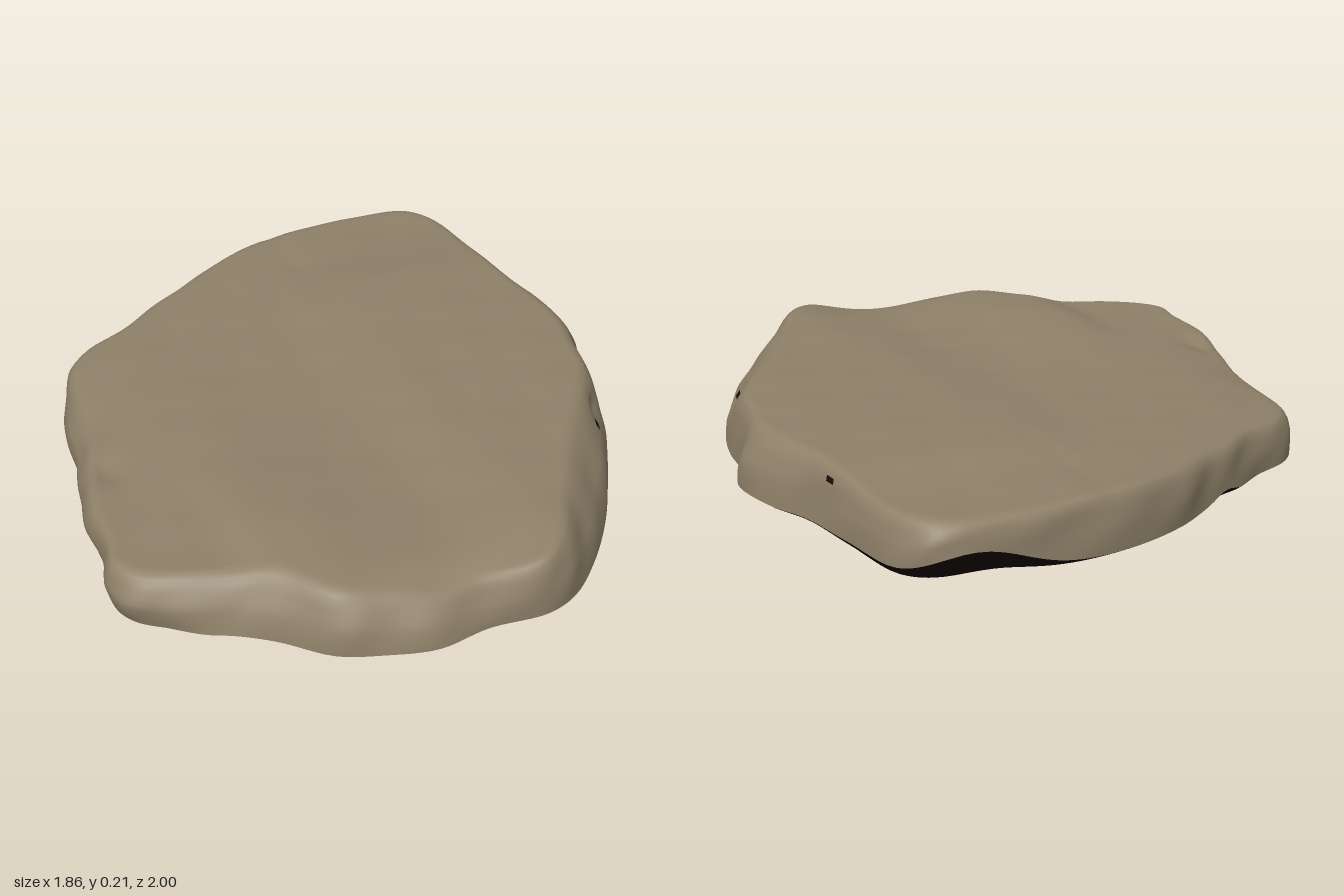
import * as THREE from 'three';

const stone = new THREE.MeshStandardMaterial({ color: 0x8f8169 });
stone.name = 'weathered stone';
const dark = new THREE.MeshStandardMaterial({ color: 0x1a0909 });
dark.name = 'dark underside';

// Slab outline seen from above: x, z, and how far the top rim is set in
const OUTLINE = [
  [0.40, -1.00, 0.02], [0.57, -0.985, 0.02], [0.78, -0.94, 0.03], [0.85, -0.84, 0.03],
  [0.87, -0.58, 0.03], [0.88, -0.36, 0.03], [0.92, -0.22, 0.05], [0.93, -0.03, 0.06],
  [0.87, 0.08, 0.03], [0.84, 0.22, 0.04], [0.78, 0.38, 0.08], [0.67, 0.56, 0.11],
  [0.55, 0.73, 0.12], [0.42, 0.87, 0.10], [0.29, 0.97, 0.05], [0.18, 1.00, 0.02],
  [0.00, 0.975, 0.05], [-0.17, 0.985, 0.08], [-0.32, 0.935, 0.08], [-0.44, 0.875, 0.06],
  [-0.56, 0.745, 0.08], [-0.66, 0.665, 0.08], [-0.82, 0.575, 0.07], [-0.91, 0.49, 0.05],
  [-0.935, 0.40, 0.03], [-0.90, 0.28, 0.02], [-0.88, 0.10, 0.02], [-0.84, -0.05, 0.03],
  [-0.79, -0.22, 0.05], [-0.75, -0.40, 0.06], [-0.66, -0.61, 0.02], [-0.57, -0.70, 0.02],
  [-0.42, -0.75, 0.02], [-0.28, -0.825, 0.02], [-0.15, -0.875, 0.02], [0.00, -0.945, 0.02],
  [0.18, -0.99, 0.02],
];
const SIDES = 220;

const bump = (x, z, cx, cz, rx, rz) => Math.exp(-(((x - cx) / rx) ** 2) - ((z - cz) / rz) ** 2);
const step = THREE.MathUtils.smoothstep;

// Height of the worn upper surface: highest on the right, falling to the left and back
function topHeight(x, z) {
  let h = 0.178 + 0.028 * step(x, -0.02, 0.3);
  h -= 0.02 * (1 - step(x, -0.9, -0.35));
  h += 0.026 * bump(x, z, -0.42, 0.5, 0.24, 0.35) * step(x, -0.62, -0.5);
  h -= 0.022 * (1 - step(z + 0.05 * Math.sin(4 * x), -0.72, -0.45)) * step(x, 0, 0.3);
  h -= 0.035 * step(-x - z, 0.7, 1.25);
  // Broken ledges and dips
  h -= 0.045 * bump(x, z, -0.16, 0.95, 0.24, 0.1);
  h -= 0.02 * bump(x, z, -0.75, -0.33, 0.08, 0.15);
  h -= 0.015 * bump(x, z, -0.75, -0.02, 0.05, 0.08);
  h -= 0.006 * bump(x, z, 0.25, -0.8, 0.03, 0.25);
  // Gentle unevenness
  h += 0.002 * Math.sin(9 * x + 4 * z) * Math.sin(7 * z - 3 * x + 1);
  h += 0.0014 * Math.sin(21 * x - 9 * z) * Math.cos(17 * z + 8 * x);
  return h;
}

// The floor tilts slightly, and the stone is broken away above it at the back right
const floorHeight = (x) => 0.008 - 0.008 * x / 0.93 * -1;
const undercut = (x, z) => 0.08 * bump(x, z, 0.68, -0.98, 0.2, 0.12)
  + 0.022 * bump(x, z, 0.85, -0.75, 0.2, 0.35) + 0.025 * bump(x, z, -0.24, -0.84, 0.07, 0.07);

// Joins closed rings into one smooth skin; quads picked by isHole become dark pits
function skin(rings, material, name, isHole = () => false) {
  const n = rings[0].length, solid = [], pits = [];
  for (let k = 0; k < rings.length - 1; k++) {
    for (let i = 0; i < n; i++) {
      const a = k * n + i, b = k * n + (i + 1) % n;
      const list = isHole(k, rings[k][i]) ? pits : solid;
      list.push(a, a + n, b, b, a + n, b + n);
    }
  }
  const geo = new THREE.BufferGeometry();
  geo.setAttribute('position', new THREE.Float32BufferAttribute(rings.flat(2), 3));
  geo.setIndex([...solid, ...pits]);
  geo.addGroup(0, solid.length, 0);
  geo.addGroup(solid.length, pits.length, 1);
  geo.computeVertexNormals();
  const mesh = new THREE.Mesh(geo, [material, dark]);
  mesh.name = name;
  return mesh;
}

export function createModel() {
  const curve = new THREE.CatmullRomCurve3(
    OUTLINE.map(([x, z, inset]) => new THREE.Vector3(x, inset, z)), true, 'centripetal');
  const rim = Array.from({ length: SIDES }, (_, i) => {
    const p = curve.getPoint(i / SIDES);
    return { x: p.x, z: p.z, inset: p.y, r: Math.hypot(p.x, p.z) };
  });
  const inward = (p, d) => [p.x * (1 - d / p.r), p.z * (1 - d / p.r)];

  // Side wall: height fraction, share of the rim inset, extra rounding
  const profile = [[0, 0, 0], [0.2, 0.05, 0], [0.4, 0.18, 0], [0.51, 0.3, 0], [0.61, 0.44, 0],
    [0.75, 0.63, 0.001], [0.84, 0.76, 0.004], [0.92, 0.88, 0.009], [0.97, 0.96, 0.016], [1, 1, 0.03]];
  const wall = profile.map(([f, share, round]) => rim.map((p, i) => {
    const a = i / SIDES * Math.PI * 2;
    const chip = 0.006 * Math.sin(Math.PI * f) * Math.sin(17 * a + 3 * f) * Math.cos(8 * a)
      + 0.03 * bump(p.x, p.z, 0.79, 0.37, 0.06, 0.06) * Math.exp(-(((f - 0.55) / 0.2) ** 2));
    // The left side bulges out above its foot
    const foot = 0.03 * (1 - step(p.x, -0.85, -0.7)) * Math.max(0, 1 - f / 0.45);
    const [x, z] = inward(p, p.inset * share + round + chip + foot);
    const [tx, tz] = inward(p, p.inset + 0.03);
    const low = floorHeight(p.x) + 0.002 + undercut(p.x, p.z);
    return [x, low + (topHeight(tx, tz) - low) * f, z];
  }));

  // Upper surface: the rim shrinks to the middle, following the height rule
  const edge = wall[wall.length - 1];
  const top = [];
  for (let k = 1; k <= 36; k++) {
    const s = 1 - (k / 36) ** 1.15;
    top.push(edge.map(([x, , z]) => [x * s, topHeight(x * s, z * s), z * s]));
  }

  // Underside: flat floor, then rising to the broken lower edge
  const floor = [0, 0.5, 1].map((s) => rim.map((p, i) => {
    const [x, , z] = wall[0][i];
    const t = s * (1 - (0.004 + 0.9 * undercut(p.x, p.z)) / p.r);
    return [x * t, floorHeight(x * t), z * t];
  }));

  // Two small pits in the right wall
  const isPit = (k, [x, , z]) => x > 0.6
    && ((k === 3 && Math.abs(z - 0.38) < 0.05) || (k === 5 && Math.abs(z + 0.48) < 0.025));

  const model = new THREE.Group();
  model.name = 'stoneSlab';
  model.add(skin([...wall, ...top], stone, 'slabBody', isPit));
  model.add(skin([...floor, wall[0]], dark, 'slabUnderside'));
  return model;
}
